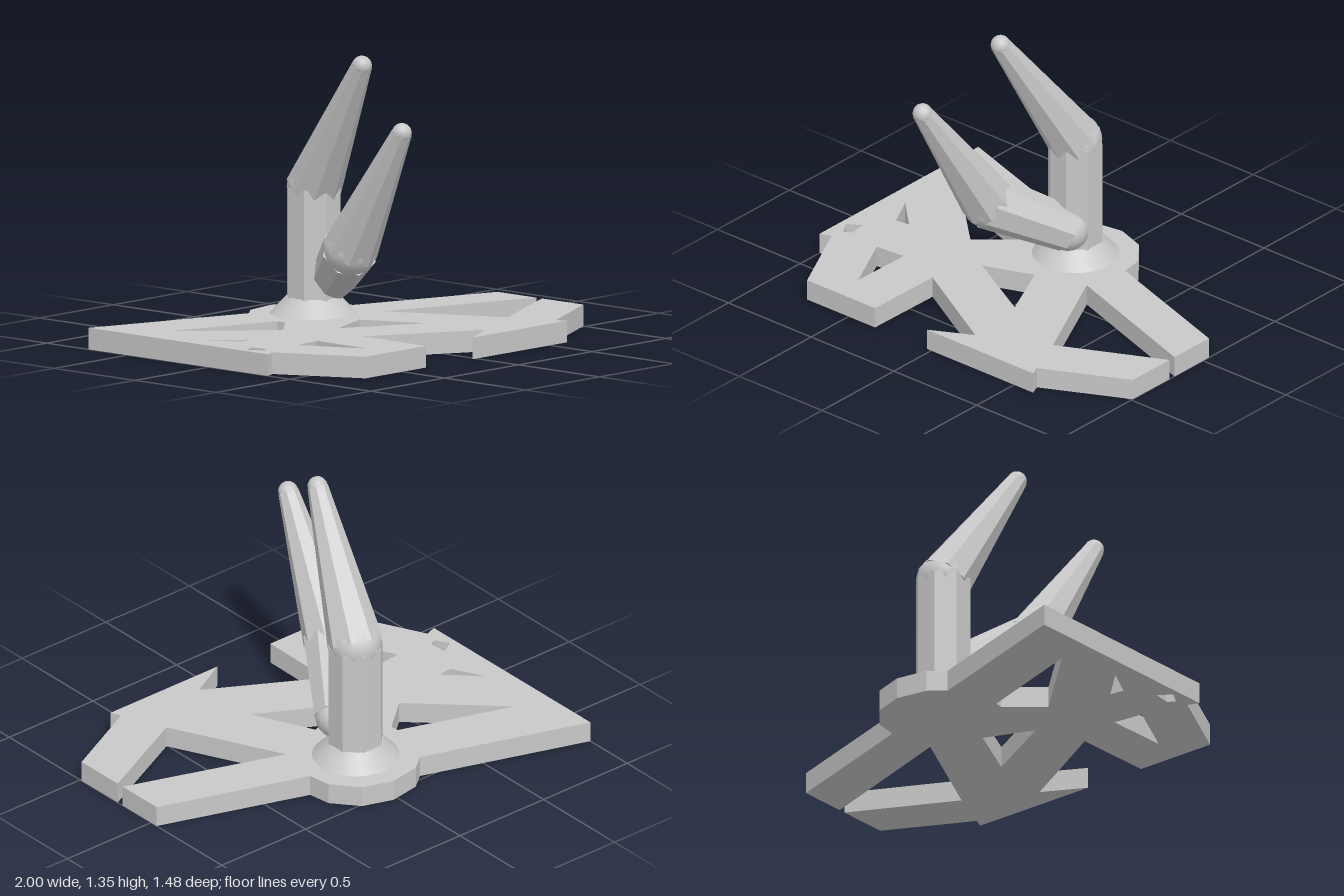
import * as THREE from 'three';

export function createModel() {
  const model = new THREE.Group();
  const grey = new THREE.MeshStandardMaterial({ color: 0xc8c8c8 });
  grey.name = 'grey';
  const greyFlat = new THREE.MeshStandardMaterial({ color: 0xc8c8c8, flatShading: true });
  greyFlat.name = 'grey';

  const add = (name, geometry, material, parent = model) => {
    const mesh = new THREE.Mesh(geometry, material);
    mesh.name = name;
    parent.add(mesh);
    return mesh;
  };

  // Base plate: outline and cut-outs as [x, z], extruded upwards
  // (the outline runs counter-clockwise so that the cut-out walls face inwards)
  const toPoints = (list) => list.map(([x, z]) => new THREE.Vector2(x, -z));
  const plate = new THREE.Shape(toPoints([
    [-1, -0.74], [-0.205, -0.475], [-0.13, -0.535], [0.025, -0.56], [0.17, -0.51],
    [0.27, -0.39], [0.286, -0.28], [1, -0.04], [1, 0.2], [0.245, -0.06],
    [0.505, 0.475], [1, 0.235], [1, 0.49], [0.595, 0.69], [0.615, 0.74],
    [-0.025, 0.74], [0.175, 0.635], [-0.335, 0.345], [-0.34, 0.74],
    [-0.75, 0.74], [-0.945, 0.345], [-1, 0.365],
  ]).reverse());
  const cutouts = [
    [[-0.83, -0.41], [-0.285, -0.225], [-0.28, -0.185], [-0.445, -0.045]],
    [[-0.9, -0.115], [-0.75, 0.03], [-0.82, 0.04]],
    [[-0.97, 0.215], [-0.905, 0.175], [-0.895, 0.26], [-0.93, 0.28]],
    [[-0.72, 0.29], [-0.57, 0.275], [-0.575, 0.585]],
    [[0.135, 0.315], [-0.24, 0.11], [0, 0.02]],
  ];
  for (const hole of cutouts) plate.holes.push(new THREE.Path(toPoints(hole)));
  const plateGeometry = new THREE.ExtrudeGeometry(plate, { depth: 0.1, bevelEnabled: false });
  plateGeometry.rotateX(-Math.PI / 2);
  add('basePlate', plateGeometry, greyFlat);

  // Sloped collar around the foot of the post
  add('collar', new THREE.CylinderGeometry(0.125, 0.2, 0.08, 32), grey).position.set(0, 0.14, -0.265);

  // Eight-sided limb between two points, and a smooth ball for its joints
  const limb = (name, from, to, r0, r1, roll, parent) => {
    const axis = to.clone().sub(from);
    const geometry = new THREE.CylinderGeometry(r1, r0, axis.length(), 8);
    geometry.rotateY(roll);
    const mesh = add(name, geometry, greyFlat, parent);
    mesh.position.copy(from).lerp(to, 0.5);
    mesh.quaternion.setFromUnitVectors(new THREE.Vector3(0, 1, 0), axis.normalize());
  };
  const ball = (name, at, r, parent) =>
    add(name, new THREE.SphereGeometry(r, 16, 12), grey, parent).position.copy(at);

  // Each finger has a lower limb, a joint and a tapered upper limb
  const finger = (name, root, rootRadius, joint, tip) => {
    const group = new THREE.Group();
    group.name = name;
    model.add(group);
    limb('lowerLimb', root, joint, rootRadius, 0.13, Math.PI / 8, group);
    ball('joint', joint, 0.124, group);
    limb('upperLimb', joint, tip, 0.13, 0.048, 0, group);
    ball('tip', tip, 0.046, group);
    return group;
  };
  const v = (x, y, z) => new THREE.Vector3(x, y, z);
  finger('uprightFinger', v(0, 0.17, -0.262), 0.13, v(0, 0.685, -0.262), v(-0.108, 1.3, 0.133));
  const branchRoot = v(0.035, 0.27, -0.17);
  const branch = finger('branchFinger', branchRoot, 0.105,
    v(-0.185, 0.46, 0.13), v(-0.252, 1.048, 0.51));
  ball('rootBall', branchRoot, 0.098, branch);

  return model;
}
